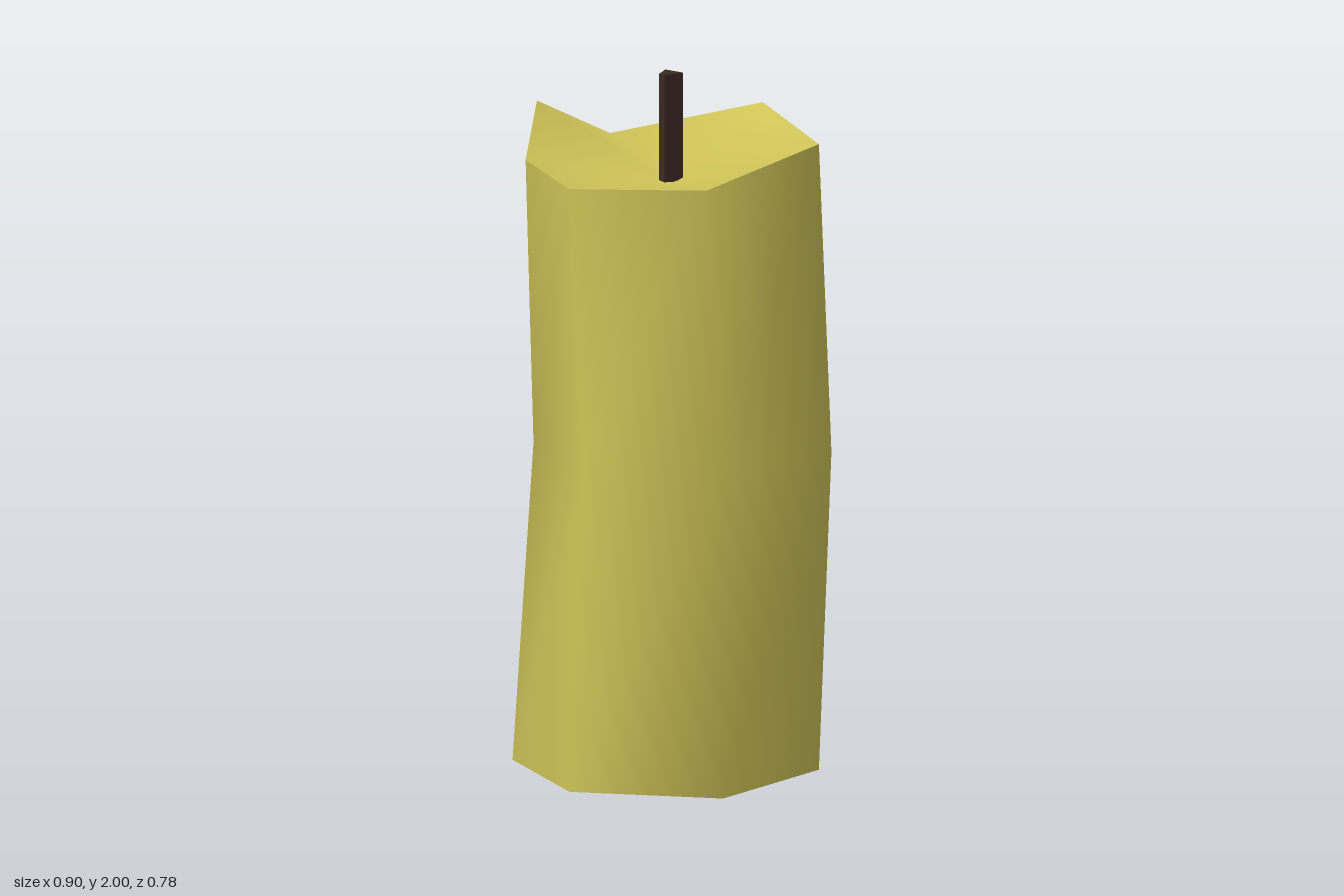
import * as THREE from 'three';
import { mergeVertices } from 'three/addons/utils/BufferGeometryUtils.js';

// Cross-sections run counter-clockwise seen from above, as [x, y, z].
// The left corner is doubled in the lower rings because the rim splits it in two.
const BASE = [
  [0.415, 0, -0.02], [0.2, 0, -0.385], [-0.24, 0, -0.375], [-0.455, 0, 0.02],
  [-0.455, 0, 0.02], [-0.225, 0, 0.375], [0.215, 0, 0.375],
];
const MIDDLE = [
  [0.45, 0.92, -0.025], [0.222, 0.92, -0.39], [-0.19, 0.92, -0.375], [-0.395, 0.92, 0.02],
  [-0.395, 0.92, 0.02], [-0.185, 0.92, 0.378], [0.22, 0.92, 0.378],
];
const RIM = [
  [0.415, 1.81, -0.02], [0.185, 1.835, -0.39], [-0.25, 1.73, -0.375], [-0.405, 1.885, -0.085],
  [-0.38, 1.785, 0.22], [-0.225, 1.745, 0.38], [0.17, 1.76, 0.39],
];

function toGeometry(triangles) {
  const g = new THREE.BufferGeometry();
  g.setAttribute('position', new THREE.Float32BufferAttribute(triangles.flat(2), 3));
  return g;
}

// Wall between successive rings
function loft(rings) {
  const tris = [];
  for (let r = 0; r < rings.length - 1; r++) {
    const lo = rings[r], hi = rings[r + 1];
    lo.forEach((a, i) => {
      const j = (i + 1) % lo.length;
      tris.push([a, lo[j], hi[j]], [a, hi[j], hi[i]]);
    });
  }
  return toGeometry(tris);
}

// Cap fanned around a centre point
function fan(ring, centre, faceDown = false) {
  return toGeometry(ring.map((a, i) => {
    const b = ring[(i + 1) % ring.length];
    return faceDown ? [b, a, centre] : [a, b, centre];
  }));
}

function smooth(geometry) {
  const g = mergeVertices(geometry);
  g.computeVertexNormals();
  return g;
}

function flat(geometry) {
  geometry.computeVertexNormals();
  return geometry;
}

export function createModel() {
  const wax = new THREE.MeshStandardMaterial({ color: 0xd0c558 });
  wax.name = 'yellow wax';
  const char = new THREE.MeshStandardMaterial({ color: 0x3a2a22 });
  char.name = 'dark wick';

  const model = new THREE.Group();
  model.name = 'candle';
  const add = (name, geometry, material, parent) => {
    const mesh = new THREE.Mesh(geometry, material);
    mesh.name = name;
    parent.add(mesh);
  };

  // Bent wax body with a sunken, uneven top
  const body = new THREE.Group();
  body.name = 'waxBody';
  add('waxSide', smooth(loft([BASE, MIDDLE, RIM])), wax, body);
  add('waxTop', smooth(fan(RIM, [-0.005, 1.685, -0.01])), wax, body);
  add('waxBottom', flat(fan(BASE, [-0.02, 0, 0], true)), wax, body);
  model.add(body);

  // Thin faceted wick
  const section = [[0.025, -0.02], [-0.03, -0.048], [-0.038, 0.01], [-0.02, 0.02]];
  const at = (y) => section.map(([x, z]) => [x, y, z]);
  const wick = new THREE.Group();
  wick.name = 'wick';
  add('wickSide', flat(loft([at(1.66), at(2)])), char, wick);
  add('wickTip', flat(fan(at(2), [-0.016, 2, -0.01])), char, wick);
  model.add(wick);

  return model;
}
